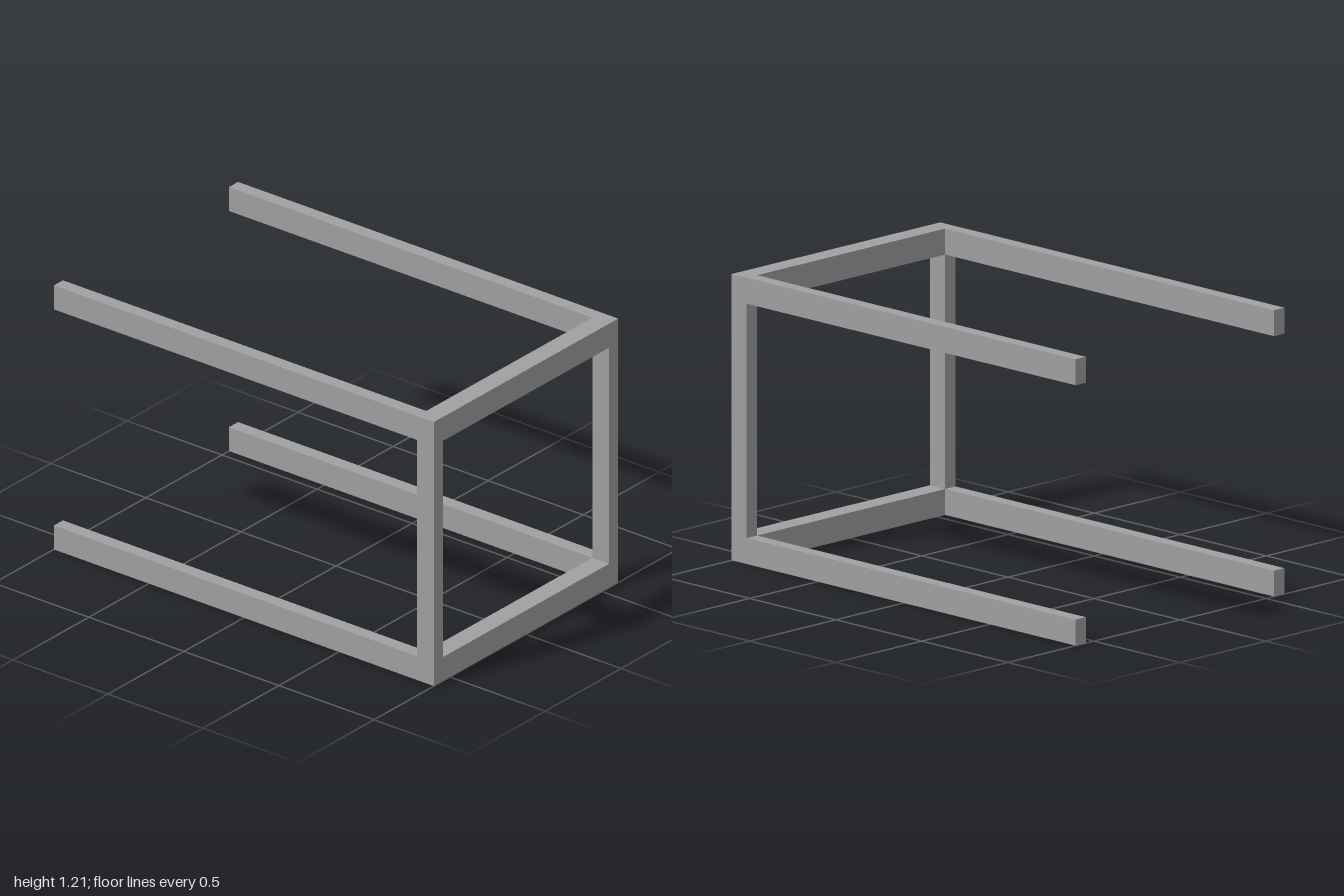
import * as THREE from 'three';

const W = 1.212, H = 1.214, L = 2; // overall width, height, length
const BAR = 0.11, THICK = 0.06; // rail height and thickness
const DEPTH = 0.088; // depth of the front frame

export function createModel() {
  const group = new THREE.Group();
  const material = new THREE.MeshStandardMaterial({ color: 0xa0a0a0, flatShading: true });

  const addBar = (name, w, h, d, x, y, z) => {
    const mesh = new THREE.Mesh(new THREE.BoxGeometry(w, h, d), material);
    mesh.name = name;
    mesh.position.set(x, y, z);
    group.add(mesh);
  };

  const levels = [['lower', BAR / 2], ['upper', H - BAR / 2]];
  const sides = [['Left', 1], ['Right', -1]];
  const frontZ = (L - DEPTH) / 2;

  for (const [level, y] of levels) {
    // Long rails running front to back
    for (const [side, s] of sides) {
      addBar(`${level}${side}Rail`, THICK, BAR, L, s * (W - THICK) / 2, y, 0);
    }
    // Front crossbar between the rails
    addBar(`${level}FrontCrossbar`, W - 2 * THICK, BAR, DEPTH, 0, y, frontZ);
  }

  // Front posts between lower and upper rails
  for (const [side, s] of sides) {
    addBar(`front${side}Post`, THICK, H - 2 * BAR, DEPTH, s * (W - THICK) / 2, H / 2, frontZ);
  }

  return group;
}
